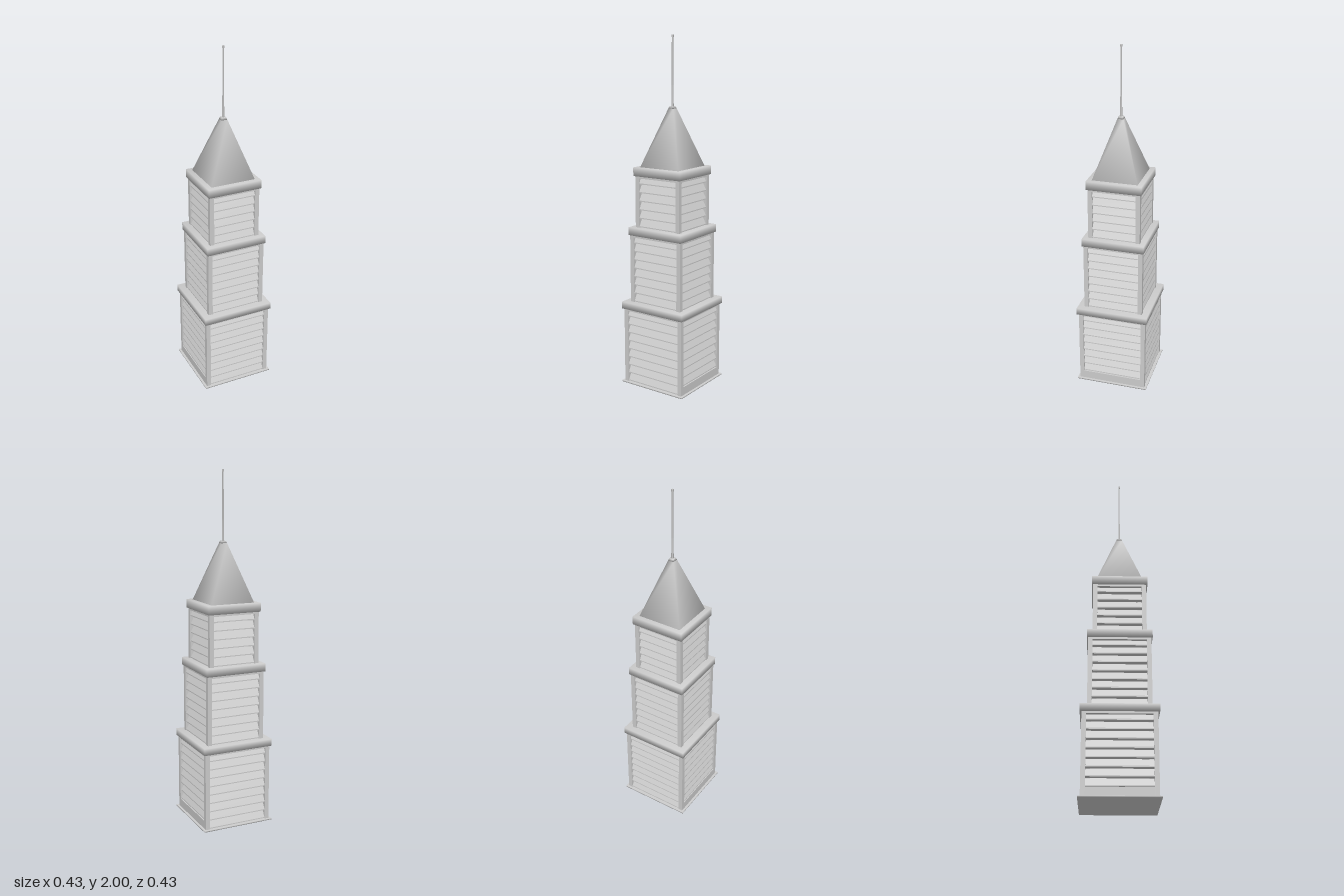
import * as THREE from 'three';
import { mergeVertices } from 'three/addons/utils/BufferGeometryUtils.js';

const material = new THREE.MeshStandardMaterial({ color: 0xcccccc });
const POST = 0.025;

function add(parent, name, geometry, x = 0, y = 0, z = 0) {
  const mesh = new THREE.Mesh(geometry, material);
  mesh.name = name;
  mesh.position.set(x, y, z);
  parent.add(mesh);
  return mesh;
}

// Share corner normals so that the faces blend softly into each other
function soften(geometry) {
  geometry.deleteAttribute('normal');
  geometry.deleteAttribute('uv');
  const merged = mergeVertices(geometry);
  merged.computeVertexNormals();
  return merged;
}

// Square slab or tapered block given by half widths and heights
function squareBlock(bottom, top, y0, y1) {
  const g = new THREE.CylinderGeometry(top * Math.SQRT2, bottom * Math.SQRT2, y1 - y0, 4);
  g.rotateY(Math.PI / 4);
  g.translate(0, (y0 + y1) / 2, 0);
  return g;
}

// Saw-tooth louvre panel facing +z, slats leaning out at the bottom
function louvreGeometry(half, y0, y1, count) {
  const outer = half - 0.004, inner = half - 0.026, back = half - 0.05;
  const step = (y1 - y0) / count;
  const s = new THREE.Shape();
  s.moveTo(back, y0);
  for (let i = 0; i < count; i++) {
    const y = y0 + i * step;
    s.lineTo(inner, y);
    s.lineTo(outer, y + 0.004);
    s.lineTo(outer, y + 0.010);
    s.lineTo(inner, y + step);
  }
  s.lineTo(back, y1);
  s.closePath();
  const width = 2 * (half - POST);
  const g = new THREE.ExtrudeGeometry(s, { depth: width, bevelEnabled: false });
  g.translate(0, 0, -width / 2);
  g.rotateY(-Math.PI / 2);
  return g;
}

function makeTier(name, half, y0, y1, slats) {
  const tier = new THREE.Group();
  tier.name = name;
  const panel = louvreGeometry(half, y0, y1, slats);
  const post = new THREE.BoxGeometry(POST, y1 - y0, POST);
  const rail = new THREE.BoxGeometry(2 * (half - POST), 0.012, POST);
  for (let i = 0; i < 4; i++) {
    const side = new THREE.Group();
    side.name = 'side';
    side.rotation.y = i * Math.PI / 2;
    add(side, 'louvres', panel);
    add(side, 'topRail', rail, 0, y1 - 0.006, half - POST / 2);
    add(side, 'cornerPost', post, half - POST / 2, (y0 + y1) / 2, half - POST / 2);
    tier.add(side);
  }
  return tier;
}

export function createModel() {
  const tower = new THREE.Group();
  tower.name = 'tower';

  add(tower, 'basePlate', soften(squareBlock(0.213, 0.213, 0, 0.007)));

  // Three louvred tiers, each closed by an overhanging collar
  const tiers = [
    { name: 'lowerTier', half: 0.2, y0: 0.005, y1: 0.452, slats: 9, collar: 0.21, top: 0.492 },
    { name: 'middleTier', half: 0.173, y0: 0.49, y1: 0.887, slats: 8, collar: 0.18, top: 0.932 },
    { name: 'upperTier', half: 0.15, y0: 0.93, y1: 1.226, slats: 6, collar: 0.158, top: 1.275 },
  ];
  for (const t of tiers) {
    tower.add(makeTier(t.name, t.half, t.y0, t.y1, t.slats));
    add(tower, 'collar', soften(squareBlock(t.collar, t.collar, t.y1, t.top)));
  }

  // Sills at the foot of the two flanks
  for (const s of [-1, 1]) {
    add(tower, 'sill', new THREE.BoxGeometry(POST, 0.05, 0.35), s * (0.2 - POST / 2), 0.03, 0);
  }

  // Pyramid roof, cap and mast
  add(tower, 'spire', soften(squareBlock(0.132, 0.017, 1.27, 1.6)));
  add(tower, 'spireCap', soften(squareBlock(0.017, 0.013, 1.6, 1.612)));
  add(tower, 'mastFoot', squareBlock(0.005, 0.004, 1.61, 1.73));
  add(tower, 'mast', squareBlock(0.0035, 0.003, 1.73, 1.99));
  add(tower, 'mastTip', squareBlock(0.005, 0.005, 1.988, 2));

  return tower;
}
